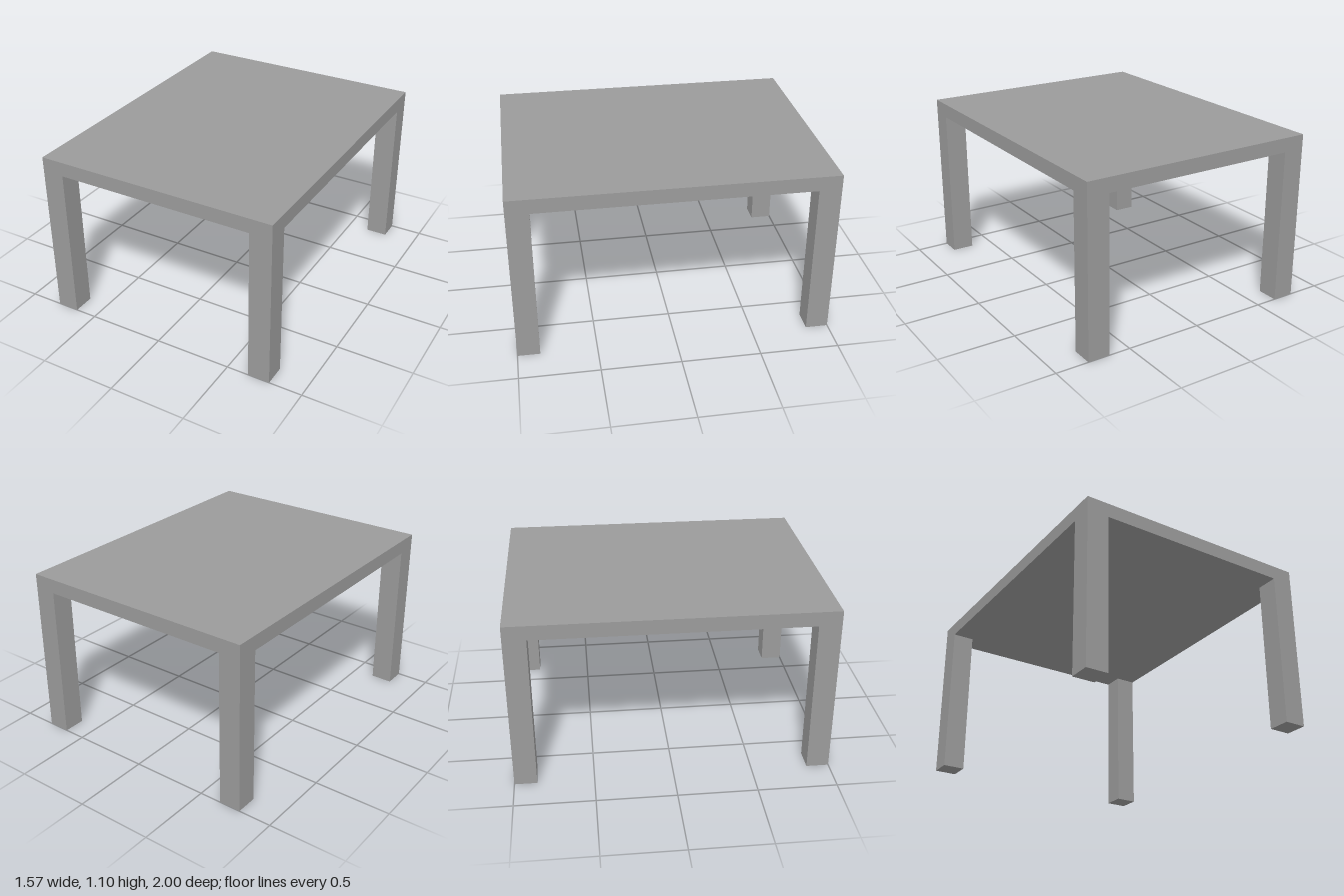
import * as THREE from 'three';

const WIDTH = 1.57, DEPTH = 2, HEIGHT = 1.1;
const SLAB = 0.093, LEG = 0.142;

export function createModel() {
  const table = new THREE.Group();
  table.name = 'table';
  const material = new THREE.MeshStandardMaterial({ color: 0x9b9b9b, flatShading: true });

  const addBox = (name, w, h, d, x, y, z) => {
    const mesh = new THREE.Mesh(new THREE.BoxGeometry(w, h, d), material);
    mesh.name = name;
    mesh.position.set(x, y, z);
    table.add(mesh);
  };

  // Flat slab top
  addBox('tabletop', WIDTH, SLAB, DEPTH, 0, HEIGHT - SLAB / 2, 0);

  // Square legs flush with the four corners, reaching up to the slab
  const legHeight = HEIGHT - SLAB;
  for (const [side, sx] of [['Left', 1], ['Right', -1]]) {
    for (const [end, sz] of [['front', 1], ['back', -1]]) {
      addBox(`${end}${side}Leg`, LEG, legHeight, LEG,
        sx * (WIDTH - LEG) / 2, legHeight / 2, sz * (DEPTH - LEG) / 2);
    }
  }
  return table;
}
